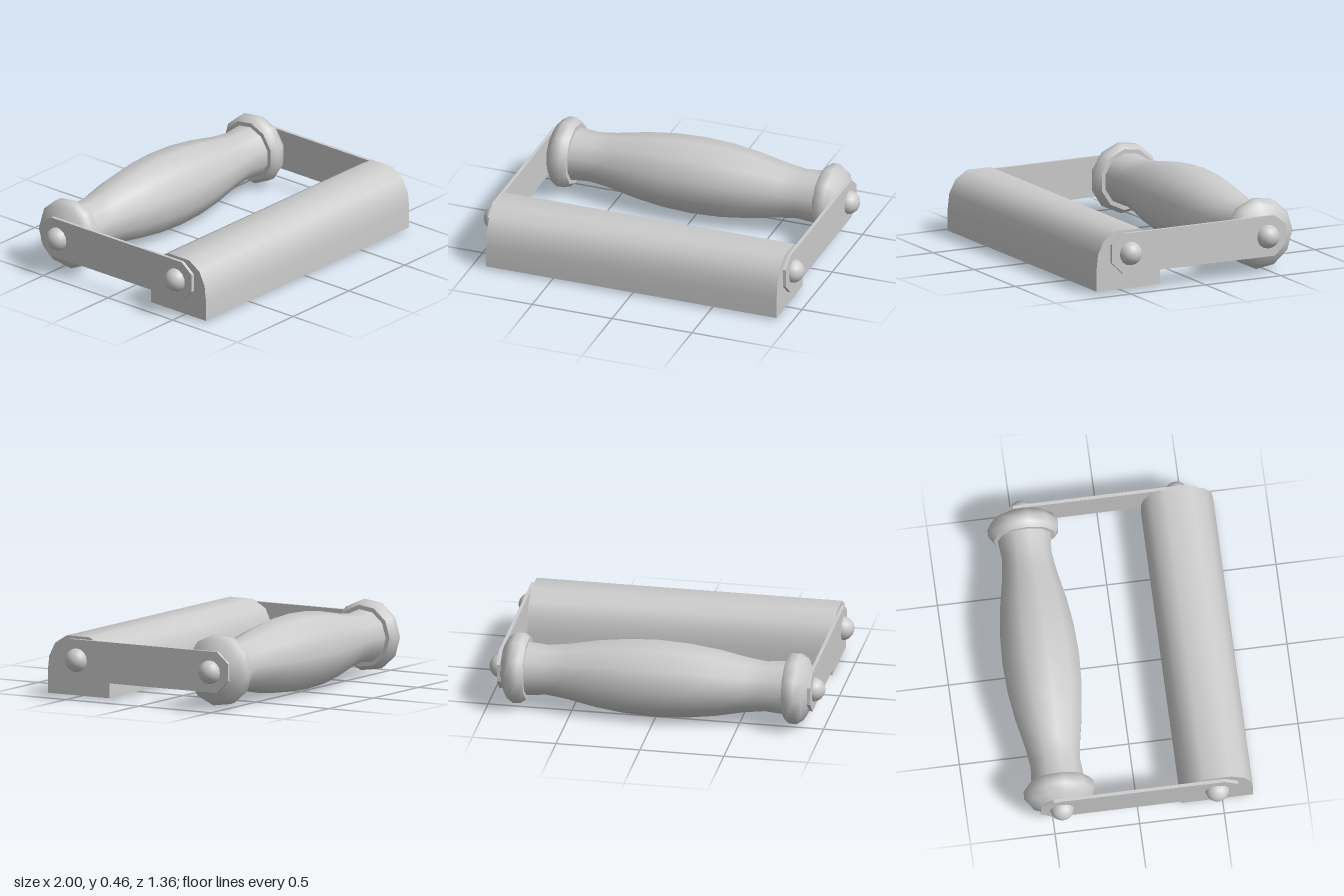
import * as THREE from 'three';
import { toCreasedNormals } from 'three/addons/utils/BufferGeometryUtils.js';

const AXIS_Y = 0.232, HANDLE_Z = -0.45, BLOCK_Z = 0.467;

export function createModel() {
  const model = new THREE.Group();
  const material = new THREE.MeshStandardMaterial({ color: 0xcccccc });

  const add = (name, geometry, x = 0, y = 0, z = 0) => {
    const mesh = new THREE.Mesh(geometry, material);
    mesh.name = name;
    mesh.position.set(x, y, z);
    model.add(mesh);
    return mesh;
  };

  // Side profile of [z, y] points, extruded along x and centred on x = 0
  const extrudeSide = (points, width, crease) => {
    const shape = new THREE.Shape(points.map(([z, y]) => new THREE.Vector2(-z, y)));
    const geometry = new THREE.ExtrudeGeometry(shape, { depth: width, bevelEnabled: false });
    geometry.translate(0, 0, -width / 2).rotateY(Math.PI / 2);
    return toCreasedNormals(geometry, crease);
  };

  // Eleven-sided turned part from [radius, distance along x] points
  const turned = (points) => new THREE.LatheGeometry(
    points.map(([r, d]) => new THREE.Vector2(r, d)), 11, Math.PI);

  // Block with rounded upper edges
  add('block', extrudeSide([
    [0.68, 0.02], [0.255, 0.02], [0.255, 0.15], [0.268, 0.24], [0.305, 0.32],
    [0.392, 0.37], [0.55, 0.37], [0.63, 0.32], [0.67, 0.24], [0.68, 0.15],
  ], 1.82, 0.7));

  // Swelling grip, symmetric about its middle
  const half = [[0.23, 0], [0.222, 0.18], [0.2, 0.35], [0.163, 0.54], [0.149, 0.65], [0.16, 0.78]];
  const gripProfile = [...half.slice(1).reverse().map(([r, d]) => [r, -d]), ...half];
  add('grip', turned(gripProfile), 0, AXIS_Y, HANDLE_Z).rotation.z = -Math.PI / 2;

  // Side plate with chamfered corners
  const plate = extrudeSide([
    [0.513, 0.112], [-0.498, 0.112], [-0.575, 0.186], [-0.575, 0.29],
    [-0.498, 0.355], [0.513, 0.355], [0.59, 0.295], [0.59, 0.186],
  ], 0.02, 0.3);

  const cap = turned([[0.185, 0.77], [0.21, 0.8], [0.212, 0.845], [0.185, 0.885], [0.125, 0.915]]);
  const capShoulder = turned([[0.13, 0.77], [0.185, 0.77]]);
  const capEnd = turned([[0.125, 0.915], [0, 0.915]]);
  const pin = new THREE.SphereGeometry(0.071, 16, 8, 0, Math.PI * 2, 0, Math.PI / 2);

  for (const [label, side] of [['left', 1], ['right', -1]]) {
    // Rounded end of the handle
    for (const [name, geometry] of [['Cap', cap], ['CapShoulder', capShoulder], ['CapEnd', capEnd]]) {
      add(label + name, geometry, 0, AXIS_Y, HANDLE_Z).rotation.z = -side * Math.PI / 2;
    }
    add(label + 'Plate', plate, side * 0.924, 0, 0);
    // Domed pins holding the plate
    add(label + 'BlockPin', pin, side * 0.929, AXIS_Y, BLOCK_Z).rotation.z = -side * Math.PI / 2;
    add(label + 'HandlePin', pin, side * 0.929, AXIS_Y, HANDLE_Z).rotation.z = -side * Math.PI / 2;
  }
  return model;
}
